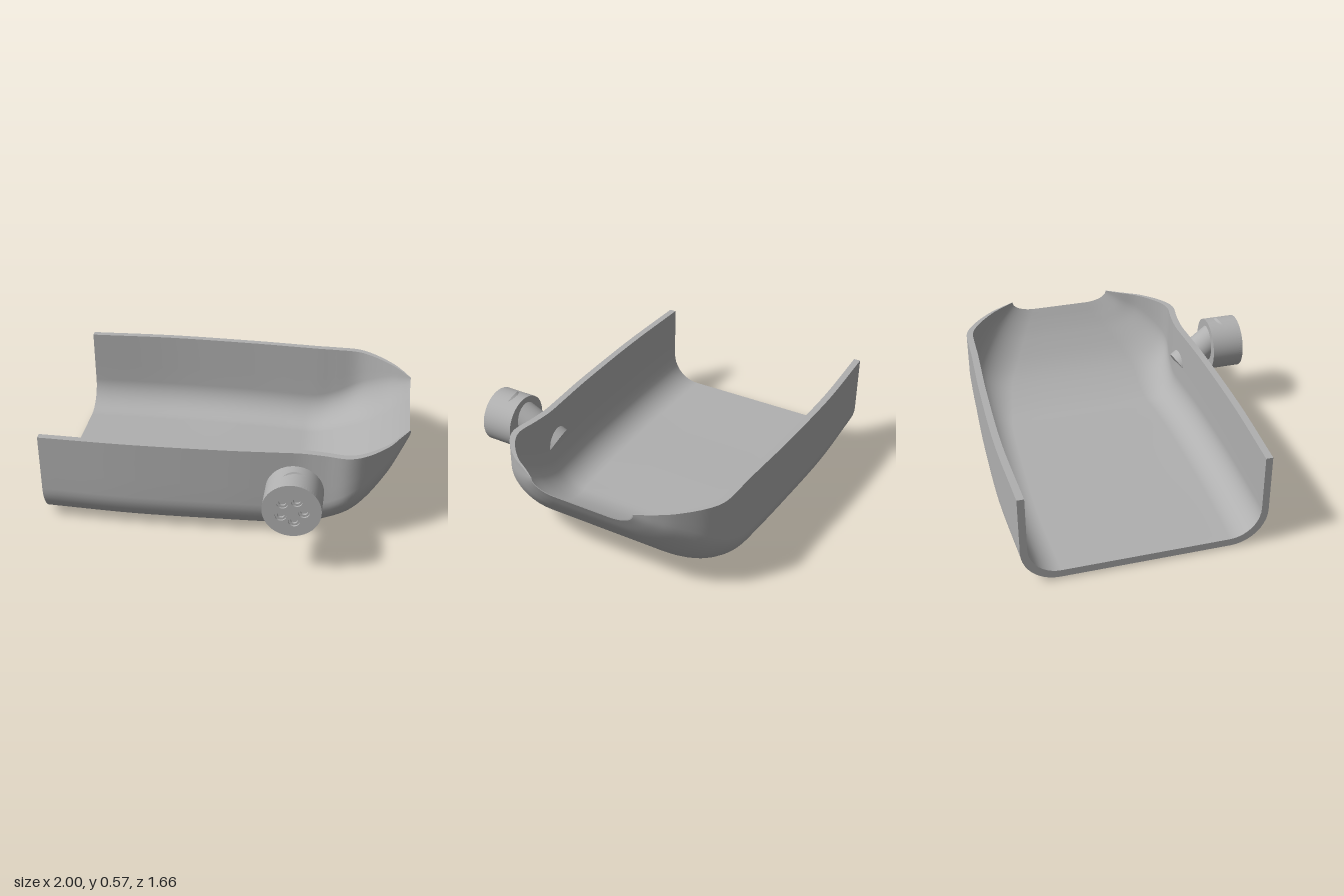
import * as THREE from 'three';
import { mergeGeometries } from 'three/addons/utils/BufferGeometryUtils.js';

const RIM = 0.545;

// Hull stations: x, front z, back z, keel height, corner width, corner height, wall thickness
const STATIONS = [
  [-1, 0.51, -0.81, 0.015, 0.2, 0.2, 0.038],
  [-0.5, 0.52, -0.83, 0.008, 0.2, 0.2, 0.038],
  [0, 0.51, -0.82, 0.008, 0.2, 0.2, 0.038],
  [0.3, 0.493, -0.805, 0.004, 0.2, 0.2, 0.038],
  [0.43, 0.486, -0.798, 0.008, 0.21, 0.2, 0.038],
  [0.55, 0.495, -0.795, 0.045, 0.23, 0.2, 0.038],
  [0.68, 0.51, -0.785, 0.11, 0.25, 0.21, 0.038],
  [0.78, 0.465, -0.73, 0.185, 0.25, 0.2, 0.036],
  [0.885, 0.36, -0.63, 0.3, 0.22, 0.16, 0.028],
  [0.95, 0.25, -0.54, 0.39, 0.18, 0.11, 0.018],
  [1, 0.165, -0.45, 0.475, 0.14, 0.066, 0.005],
];

// U-shaped cross-section from the front rim, under the keel, to the back rim
function section([x, front, back, keel, rx, ry], t) {
  const pts = [];
  const f = front - t, k = back + t, b = Math.max(0, keel) + t * 1.1;
  const cx = rx - t * 0.8, cy = Math.min(ry - t * 0.8, RIM - b);
  const n = 10;
  for (let i = 0; i < 3; i++) pts.push([x, RIM + (b + cy - RIM) * i / 3, f]);
  for (let i = 0; i <= n; i++) {
    const a = i / n * Math.PI / 2;
    pts.push([x, b + cy * (1 - Math.sin(a)), f - cx * (1 - Math.cos(a))]);
  }
  const half = pts.length;
  for (let i = 1; i < 4; i++) pts.push([x, b, f - cx + (k - f + 2 * cx) * i / 4]);
  for (let i = half - 1; i >= 0; i--) pts.push([x, pts[i][1], k + (f - pts[i][2])]);
  return pts;
}

// Smooth surface through rows of points
function surface(rows, flip = false) {
  const n = rows[0].length, index = [];
  for (let i = 0; i < rows.length - 1; i++) {
    for (let j = 0; j < n - 1; j++) {
      const a = i * n + j, b = a + 1, c = a + n, d = c + 1;
      if (flip) index.push(a, c, b, b, c, d);
      else index.push(a, b, c, b, d, c);
    }
  }
  const g = new THREE.BufferGeometry();
  g.setAttribute('position', new THREE.Float32BufferAttribute(rows.flat(2), 3));
  g.setIndex(index);
  g.computeVertexNormals();
  return g;
}

function hullGeometry() {
  // Smooth the stations along the length
  const curve = (i, j, k) => new THREE.CatmullRomCurve3(
    STATIONS.map(s => new THREE.Vector3(s[i], s[j], s[k])), false, 'catmullrom', 0.5);
  const plan = curve(0, 1, 2), corner = curve(3, 4, 5), wall = curve(6, 6, 6);
  const outer = [], inner = [], steps = 60;
  for (let i = 0; i <= steps; i++) {
    const u = i / steps;
    const s = [...plan.getPoint(u).toArray(), ...corner.getPoint(u).toArray()];
    outer.push(section(s, 0));
    inner.push(section(s, wall.getPoint(u).x));
  }
  const last = outer[0].length - 1;
  return mergeGeometries([
    surface(outer),
    surface(inner, true),
    surface(outer.map((r, i) => [inner[i][0], r[0]])),
    surface(outer.map((r, i) => [r[last], inner[i][last]])),
    surface([inner[0], outer[0]]),
    surface([outer[steps], inner[steps]]),
  ]);
}

// Round plate with five holes, facing +z
function holedPlate(radius, holeRadius, depth) {
  const shape = new THREE.Shape().absarc(0, 0, radius, 0, Math.PI * 2);
  for (let i = 0; i < 5; i++) {
    const a = (67 + 72 * i) * Math.PI / 180;
    shape.holes.push(new THREE.Path().absarc(
      0.064 * Math.cos(a), 0.064 * Math.sin(a), holeRadius, 0, Math.PI * 2, true));
  }
  return new THREE.ExtrudeGeometry(shape, { depth, bevelEnabled: false, curveSegments: 32 });
}

export function createModel() {
  const grey = new THREE.MeshStandardMaterial({ color: 0xb0b0b0 });
  grey.name = 'grey';
  const model = new THREE.Group();
  const add = (name, geometry, parent = model) => {
    const mesh = new THREE.Mesh(geometry, grey);
    mesh.name = name;
    parent.add(mesh);
    return mesh;
  };

  // Open trough with an upswept nose
  add('hull', hullGeometry());

  // Slanted pipe through the front wall
  const from = new THREE.Vector3(0.365, 0.307, 0.458);
  const to = new THREE.Vector3(0.415, 0.497, 0.755);
  const axis = to.clone().sub(from);
  const pipe = add('pipe', new THREE.CylinderGeometry(0.087, 0.087, axis.length(), 40));
  pipe.position.copy(from).add(to).multiplyScalar(0.5);
  pipe.quaternion.setFromUnitVectors(new THREE.Vector3(0, 1, 0), axis.normalize());

  // Round outlet cap with stepped holes in its face
  const cap = new THREE.Group();
  cap.name = 'outletCap';
  cap.position.set(0.408, 0.408, 0);
  model.add(cap);
  const body = add('capBody', new THREE.CylinderGeometry(0.154, 0.154, 0.162, 64), cap);
  body.rotation.x = Math.PI / 2;
  body.position.z = 0.721;
  add('capInnerPlate', holedPlate(0.154, 0.019, 0.013), cap).position.z = 0.802;
  add('capFacePlate', holedPlate(0.154, 0.03, 0.01), cap).position.z = 0.815;

  return model;
}
